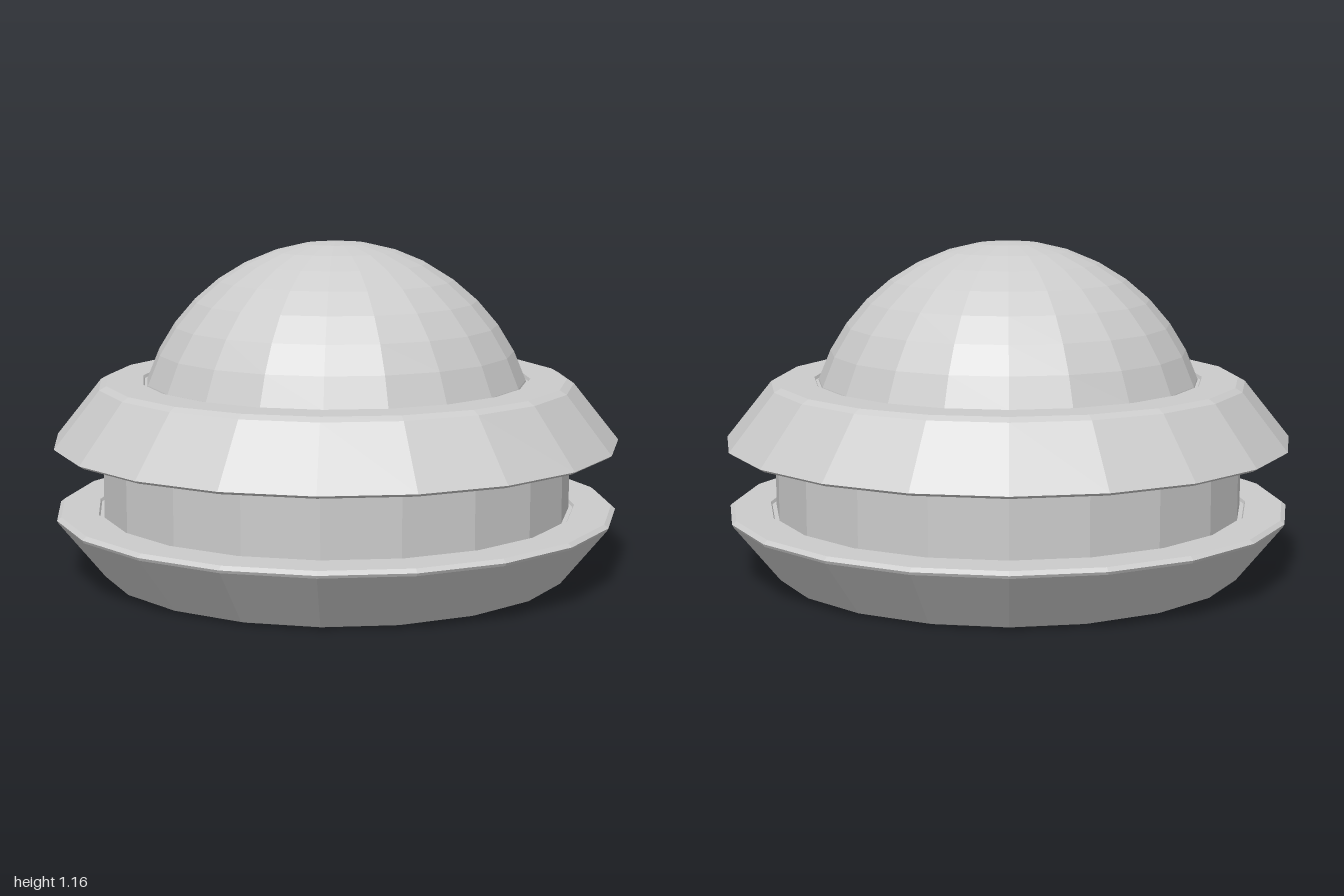
import * as THREE from 'three';

const SIDES = 20;

export function createModel() {
  const group = new THREE.Group();
  const material = new THREE.MeshStandardMaterial({ color: 0xcccccc, flatShading: true });

  // Turn a profile of [radius, height] pairs, listed from bottom to top
  function turned(name, profile) {
    const points = profile.map(([r, y]) => new THREE.Vector2(r, y));
    const mesh = new THREE.Mesh(new THREE.LatheGeometry(points, SIDES), material);
    mesh.name = name;
    group.add(mesh);
  }

  // Lower dish, flaring upward, with a shallow seat around the band
  turned('lowerDish', [
    [0, 0], [0.8, 0], [0.83, 0.01], [0.99, 0.21], [0.995, 0.22],
    [0.98, 0.232], [0.85, 0.232], [0.845, 0.222], [0, 0.222],
  ]);

  // Straight middle band with a bevelled top edge
  turned('middleBand', [
    [0, 0.2], [0.83, 0.2], [0.83, 0.435], [0.815, 0.45], [0, 0.45],
  ]);

  // Upper skirt, flaring downward, with a shallow seat around the dome
  turned('upperSkirt', [
    [0, 0.46], [0.985, 0.46], [1, 0.47], [0.84, 0.67], [0.815, 0.684],
    [0.687, 0.684], [0.682, 0.674], [0, 0.674],
  ]);

  // Faceted dome in nine-degree steps, ending in a small flat cap
  const radius = 0.705;
  const dome = [];
  for (let deg = 90; deg >= 9; deg -= 9) {
    const a = THREE.MathUtils.degToRad(deg);
    dome.push([radius * Math.sin(a), 0.462 + radius * Math.cos(a)]);
  }
  dome.push([0, 1.165]);
  turned('dome', dome);

  return group;
}
